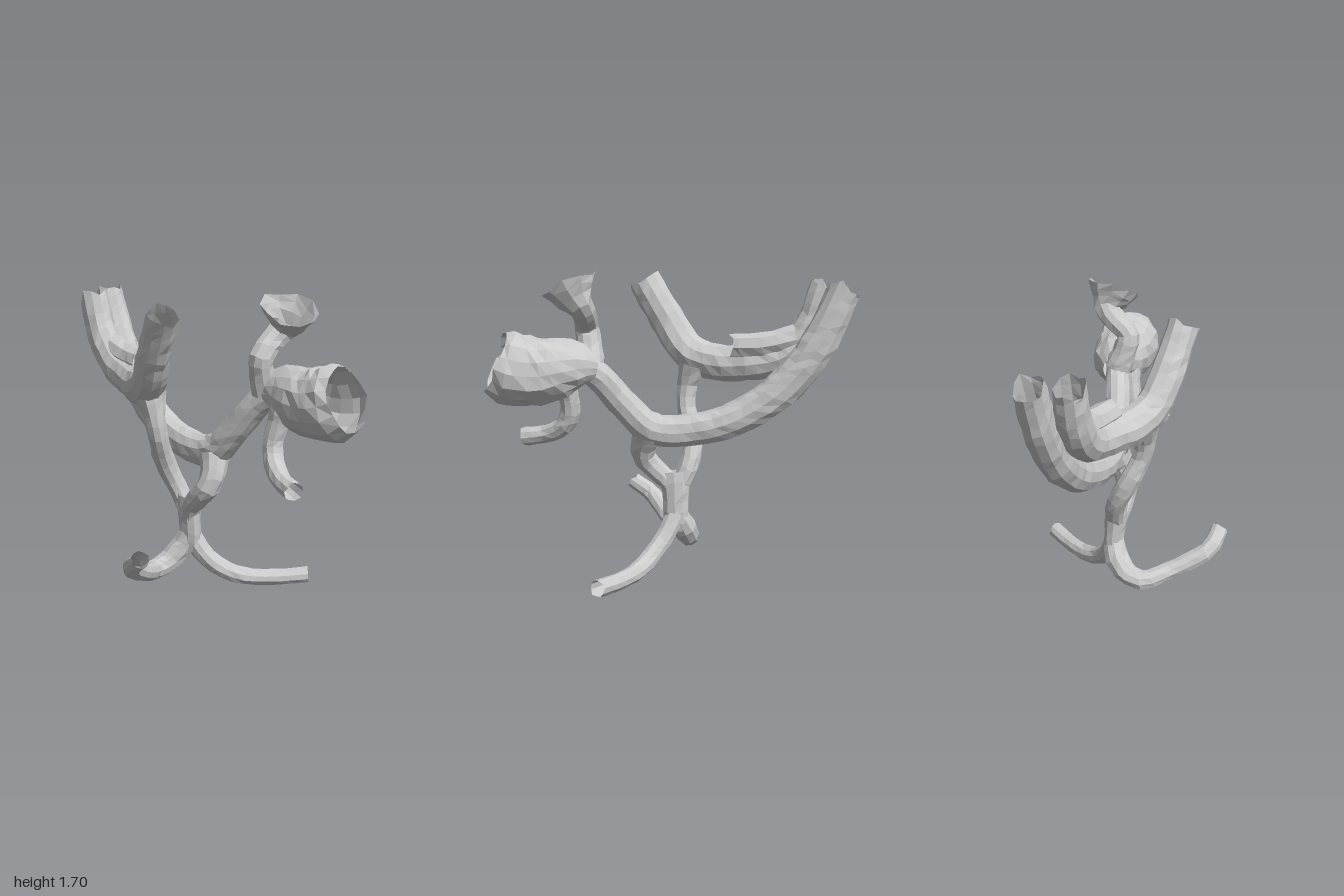
import * as THREE from 'three';

const material = new THREE.MeshStandardMaterial({
  color: 0xcccccc, flatShading: true, side: THREE.DoubleSide,
});

// Repeatable noise in -1..1
function noise(a, b, seed) {
  const s = Math.sin(a * 12.9898 + b * 78.233 + seed * 37.719) * 43758.5453;
  return (s - Math.floor(s)) * 2 - 1;
}

// Open vessel through [x, y, z, radius] stations; squash narrows it in x,
// ragged sets how uneven the far end and (optionally) the near end are.
function vessel(name, stations, { sides = 10, step = 0.06, squash = 1, ragged = 0.015, raggedStart = 0, seed = 1 } = {}) {
  const curve = new THREE.CatmullRomCurve3(stations.map(([x, y, z]) => new THREE.Vector3(x, y, z)), false, 'centripetal');
  const rings = Math.max(4, Math.round(curve.getLength() / step));
  const geometry = new THREE.TubeGeometry(curve, rings, 1, sides, false);
  const pos = geometry.attributes.position;
  const v = new THREE.Vector3();
  for (let i = 0; i <= rings; i++) {
    const u = i / rings;
    const center = curve.getPointAt(u);
    const tangent = curve.getTangentAt(u);
    const s = curve.getUtoTmapping(u) * (stations.length - 1);
    const k = Math.min(Math.floor(s), stations.length - 2);
    const radius = THREE.MathUtils.lerp(stations[k][3], stations[k + 1][3], s - k);
    const tear = i === rings ? ragged : i === 0 ? raggedStart : 0.012;
    for (let j = 0; j <= sides; j++) {
      const id = i * (sides + 1) + j;
      v.fromBufferAttribute(pos, id).sub(center);
      v.multiplyScalar(radius * (1 + 0.05 * noise(i, j % sides, seed)));
      v.x *= squash;
      v.add(center).addScaledVector(tangent, tear * noise(j % sides, i, seed + 5));
      pos.setXYZ(id, v.x, v.y, v.z);
    }
  }
  geometry.computeVertexNormals();
  const mesh = new THREE.Mesh(geometry, material);
  mesh.name = name;
  return mesh;
}

export function createModel() {
  const model = new THREE.Group();
  model.name = 'branchingVessels';
  model.add(
    // Long left trunk, sweeping down from the back and up to the bulb
    vessel('leftTrunk', [
      [0.018, 1.61, -0.915, 0.09], [0.025, 1.33, -0.79, 0.102], [0.033, 1.08, -0.61, 0.102],
      [0.04, 0.88, -0.32, 0.097], [0.047, 0.81, -0.03, 0.092], [0.07, 0.83, 0.14, 0.09],
      [0.11, 0.98, 0.29, 0.082], [0.165, 1.14, 0.42, 0.08], [0.2, 1.19, 0.5, 0.08],
    ], { sides: 11, squash: 0.85, raggedStart: 0.03, ragged: 0, seed: 2 }),

    // Swollen bulb, rounded behind, with a slightly drawn-in mouth at the front
    vessel('bulb', [
      [0.185, 1.19, 0.43, 0.08], [0.21, 1.2, 0.485, 0.11], [0.235, 1.2, 0.545, 0.145],
      [0.25, 1.19, 0.62, 0.168], [0.268, 1.175, 0.72, 0.187], [0.285, 1.18, 0.81, 0.197],
      [0.298, 1.2, 0.89, 0.2], [0.31, 1.22, 0.94, 0.175],
    ], { sides: 16, squash: 0.92, ragged: 0.015, seed: 3 }),

    // Crooked stalk opening into a flared cup above the bulb
    vessel('cupBranch', [
      [0.18, 1.2, 0.45, 0.08], [0.14, 1.31, 0.46, 0.068], [0.128, 1.395, 0.475, 0.065],
      [0.21, 1.475, 0.47, 0.065], [0.262, 1.53, 0.482, 0.072], [0.262, 1.575, 0.513, 0.11], [0.252, 1.64, 0.545, 0.155],
    ], { step: 0.04, seed: 4 }),

    // Hooked branch under the bulb
    vessel('hookBranch', [
      [0.18, 1.14, 0.6, 0.07], [0.152, 1.03, 0.58, 0.057], [0.135, 0.93, 0.572, 0.055],
      [0.115, 0.84, 0.615, 0.055], [0.08, 0.785, 0.72, 0.05], [0.055, 0.76, 0.85, 0.053],
    ], { step: 0.045, seed: 5 }),

    // Right trunk, from the back to its raised front arm
    vessel('rightTrunk', [
      [-0.14, 1.61, -0.815, 0.09], [-0.13, 1.38, -0.74, 0.097], [-0.12, 1.22, -0.6, 0.1],
      [-0.14, 1.17, -0.4, 0.102], [-0.195, 1.16, -0.2, 0.105], [-0.24, 1.21, -0.05, 0.105],
      [-0.283, 1.38, 0.075, 0.1], [-0.312, 1.61, 0.215, 0.094],
    ], { sides: 11, squash: 0.9, raggedStart: 0.035, ragged: 0.025, seed: 6 }),

    // Torn stub along the top of the right trunk
    vessel('tornStub', [
      [-0.105, 1.32, -0.66, 0.075], [-0.1, 1.275, -0.48, 0.072], [-0.115, 1.265, -0.29, 0.07],
    ], { sides: 8, ragged: 0.03, seed: 7 }),

    // Two connectors joining the trunks to the lower stem
    vessel('rightConnector', [
      [-0.21, 1.14, -0.08, 0.09], [-0.207, 1.02, -0.045, 0.06], [-0.185, 0.9, -0.04, 0.054],
      [-0.125, 0.76, -0.08, 0.06], [-0.065, 0.64, -0.08, 0.058], [-0.03, 0.55, -0.055, 0.055], [-0.015, 0.46, -0.01, 0.052],
    ], { ragged: 0, seed: 8 }),
    vessel('leftConnector', [
      [0.06, 0.8, 0.15, 0.085], [0.03, 0.71, 0.182, 0.07], [0.0, 0.64, 0.178, 0.066],
      [-0.02, 0.56, 0.11, 0.06], [-0.02, 0.5, 0.045, 0.058], [-0.01, 0.42, 0.01, 0.055],
    ], { step: 0.045, ragged: 0, seed: 9 }),

    // Lower stem, widening where the connectors meet
    vessel('stem', [
      [-0.02, 0.56, 0.01, 0.075], [-0.015, 0.5, 0.005, 0.083], [-0.005, 0.4, 0.003, 0.075],
      [0, 0.3, 0.0, 0.075], [0, 0.22, 0.0, 0.055],
    ], { squash: 0.75, ragged: 0, seed: 10 }),

    // Forked lower arms
    vessel('leftArm', [
      [0.0, 0.32, 0, 0.055], [0.05, 0.21, 0.05, 0.055], [0.13, 0.12, 0.115, 0.052],
      [0.25, 0.065, 0.18, 0.05], [0.4, 0.052, 0.262, 0.047], [0.565, 0.063, 0.36, 0.048],
    ], { seed: 11 }),
    vessel('rightArm', [
      [0.0, 0.32, 0, 0.06], [-0.045, 0.22, -0.045, 0.07], [-0.11, 0.155, -0.06, 0.064],
      [-0.2, 0.13, -0.055, 0.057], [-0.32, 0.165, 0.05, 0.05], [-0.43, 0.22, 0.13, 0.053],
      [-0.515, 0.28, 0.2, 0.053], [-0.53, 0.36, 0.32, 0.049],
    ], { seed: 12 }),
  );
  return model;
}
